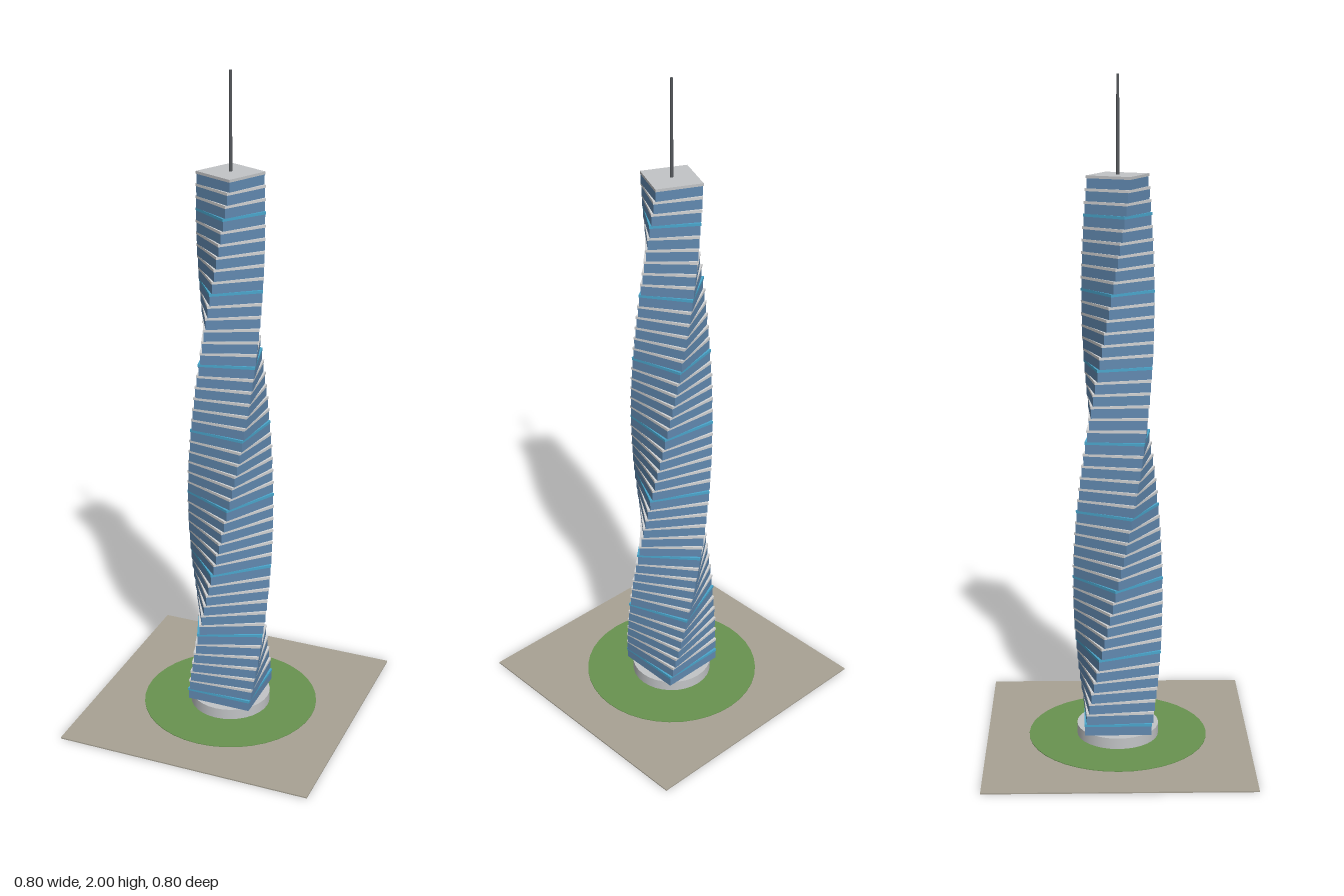
import * as THREE from 'three';

const mat = (name, color) => Object.assign(new THREE.MeshStandardMaterial({ color }), { name });

export function createModel() {
  const paving = mat('paving', 0xa8a294);
  const grass = mat('grass', 0x689250);
  const stone = mat('stone', 0xc2c4c6);
  const glass = mat('blue glass', 0x6189b0);
  const slabWhite = mat('slab white', 0xd2d3d4);
  const accent = mat('accent blue', 0x4aa6cc);
  const steel = mat('dark steel', 0x55585c);

  const model = new THREE.Group();
  model.name = 'twistedTower';
  const add = (parent, name, geometry, material, y) => {
    const mesh = new THREE.Mesh(geometry, material);
    mesh.name = name;
    mesh.position.y = y;
    parent.add(mesh);
    return mesh;
  };

  // Site: plaza, round lawn and drum podium
  add(model, 'plaza', new THREE.BoxGeometry(0.8, 0.004, 0.8), paving, 0.002);
  add(model, 'lawn', new THREE.CylinderGeometry(0.273, 0.273, 0.002, 40), grass, 0.005);
  add(model, 'podium', new THREE.CylinderGeometry(0.125, 0.125, 0.036, 32), stone, 0.022);

  // Tower: square floors that turn and shrink step by step
  const floors = 46, base = 0.04, top = 1.72;
  const step = (top - base) / floors, slabH = 0.008;
  const twist = THREE.MathUtils.degToRad(155);
  for (let i = 0; i < floors; i++) {
    const t = i / (floors - 1);
    const side = 2 * 0.1025 * (1 - 0.33 * Math.pow(t, 1.35));
    const floor = new THREE.Group();
    floor.name = `floor${i + 1}`;
    floor.position.y = base + i * step;
    floor.rotation.y = twist * t;
    const glassH = step - slabH;
    add(floor, 'glazing', new THREE.BoxGeometry(side - 0.003, glassH, side - 0.003), glass, glassH / 2);
    const slabMat = i === floors - 1 ? stone : i % 6 === 0 ? accent : slabWhite;
    add(floor, 'slab', new THREE.BoxGeometry(side, slabH, side), slabMat, step - slabH / 2);
    model.add(floor);
  }

  // Mast on the roof
  add(model, 'mast', new THREE.CylinderGeometry(0.004, 0.005, 2 - top, 10), steel, (2 + top) / 2);
  return model;
}
